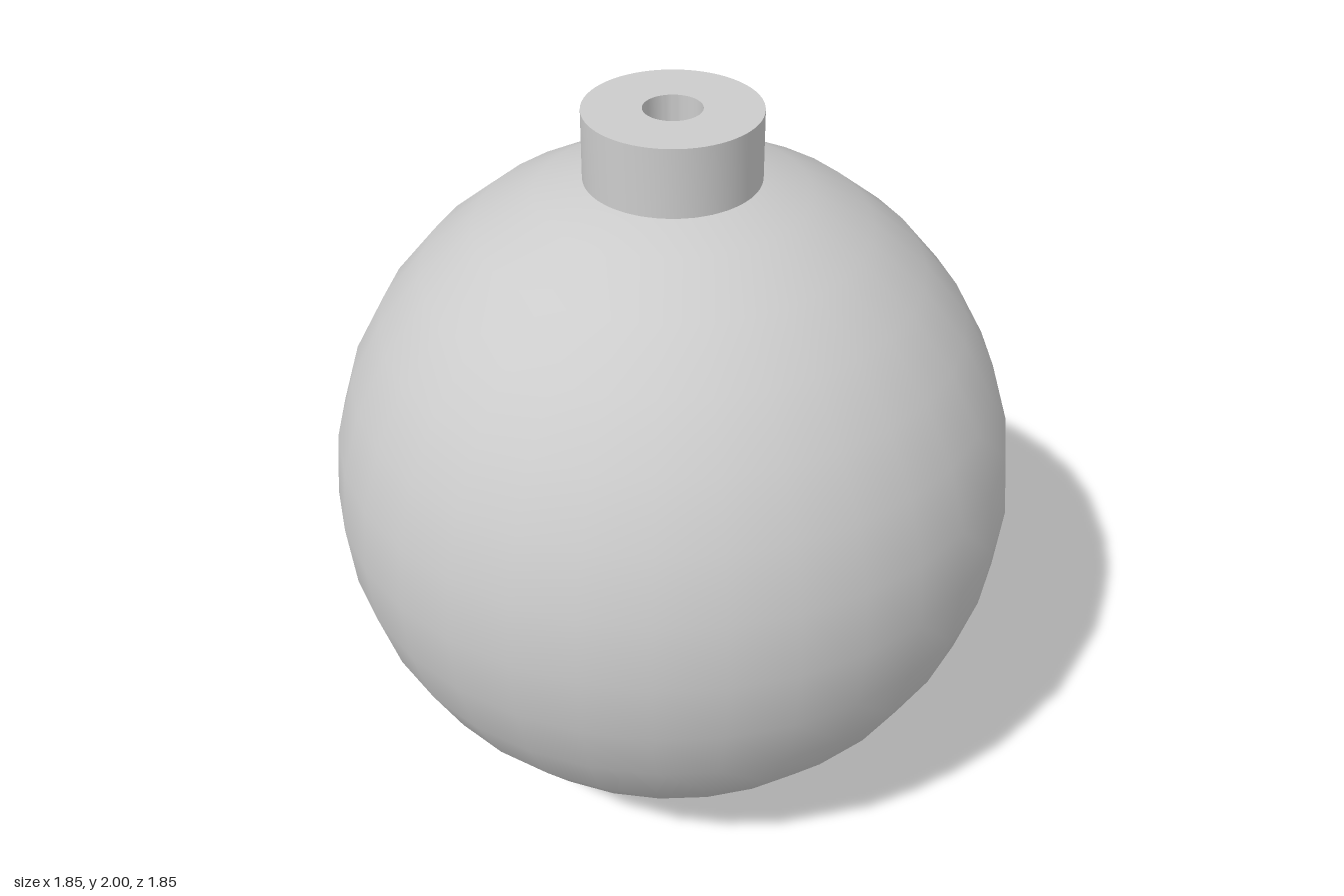
import * as THREE from 'three';
import { toCreasedNormals } from 'three/addons/utils/BufferGeometryUtils.js';

const R = 0.924; // ball radius

export function createModel() {
  const model = new THREE.Group();
  model.name = 'ballWithCollar';
  const grey = new THREE.MeshStandardMaterial({ color: 0xcccccc });
  const dark = new THREE.MeshStandardMaterial({ color: 0x222222 });

  const add = (name, geometry, material, y = 0) => {
    const mesh = new THREE.Mesh(geometry, material);
    mesh.name = name;
    mesh.position.y = y;
    model.add(mesh);
    return mesh;
  };

  // round body resting on the ground
  add('ball', new THREE.SphereGeometry(R, 32, 16), grey, R);

  // thick ring on top: outer wall, flat rim, bore wall
  const profile = [[0.228, 1.8], [0.228, 2], [0.076, 2], [0.076, 1.82]]
    .map(([x, y]) => new THREE.Vector2(x, y));
  add('collar', toCreasedNormals(new THREE.LatheGeometry(profile, 64), 0.6), grey);

  // dark floor of the bore, just above the top of the ball
  const floor = new THREE.CircleGeometry(0.077, 48).rotateX(-Math.PI / 2);
  add('boreFloor', floor, dark, 1.855);

  return model;
}
